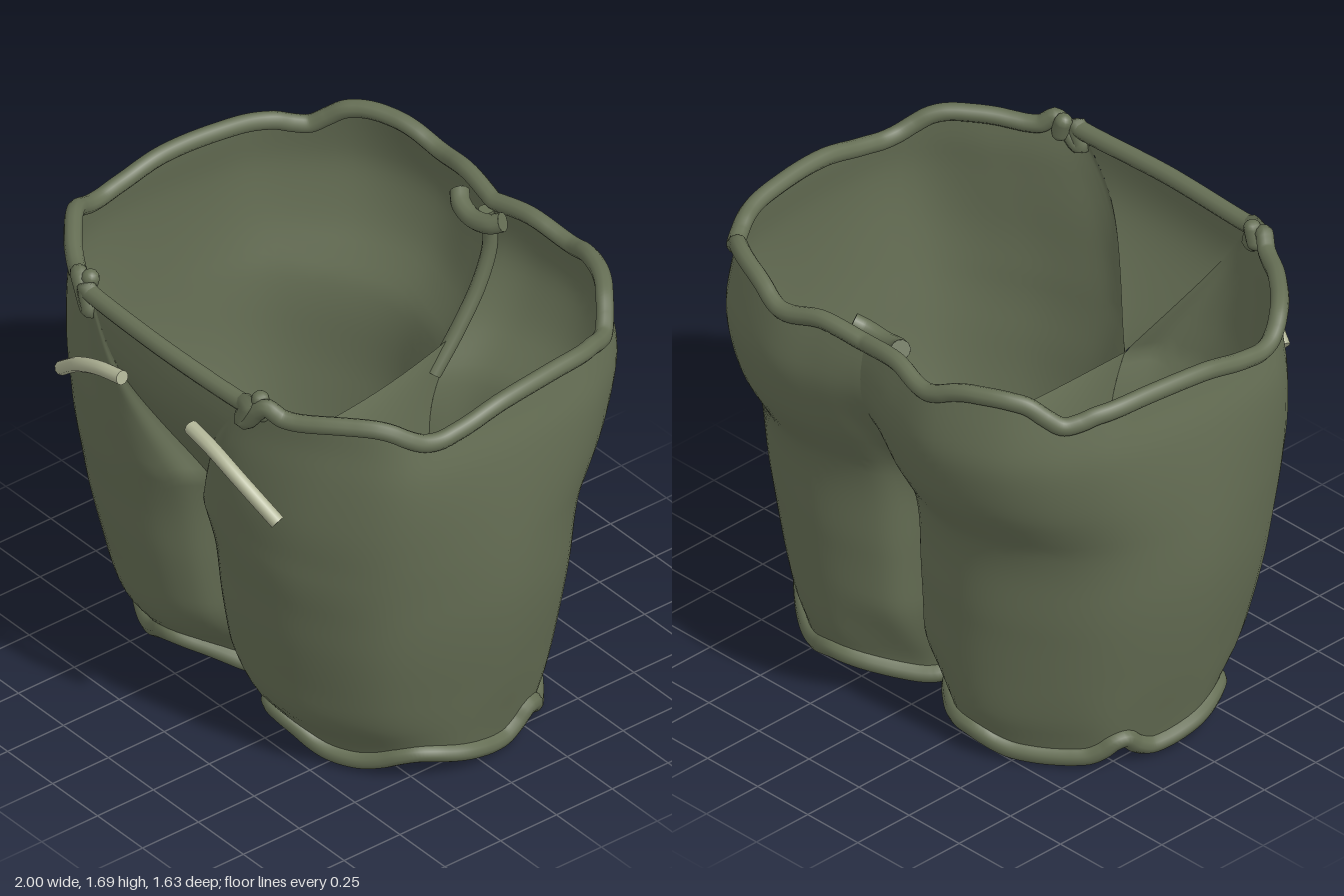
import * as THREE from 'three';
import { ParametricGeometry } from 'three/addons/geometries/ParametricGeometry.js';

const cloth = new THREE.MeshStandardMaterial({ color: 0x666f55, side: THREE.DoubleSide });
const pale = new THREE.MeshStandardMaterial({ color: 0xb0b496 });
const V = (x, y, z) => new THREE.Vector3(x, y, z);
const { lerp, smoothstep, clamp } = THREE.MathUtils;

// smooth lookup through a few [position, value] pairs
function profile(pairs) {
  const f = new THREE.CubicInterpolant(pairs.map(p => p[0]), pairs.map(p => p[1]), 1);
  return t => f.evaluate(t)[0];
}

// silhouette by height: half width, front depth, back depth
const halfWidth = profile([[0, 0.81], [0.15, 0.845], [0.35, 0.895], [0.6, 0.95], [0.8, 0.98], [1.1, 0.995], [1.4, 0.985], [1.55, 0.96], [1.68, 0.94]]);
const frontZ = profile([[0, 0.435], [0.1, 0.465], [0.16, 0.505], [0.23, 0.555], [0.4, 0.595], [0.6, 0.635], [0.8, 0.665], [1, 0.715], [1.2, 0.767], [1.4, 0.795], [1.55, 0.785], [1.68, 0.77]]);
const backZ = profile([[0, 0.505], [0.1, 0.535], [0.2, 0.57], [0.6, 0.615], [0.98, 0.66], [1.06, 0.705], [1.16, 0.76], [1.3, 0.8], [1.4, 0.812], [1.5, 0.8], [1.68, 0.76]]);

// half outlines from front centre, round the outside, to back centre
const hemOutline = [[0, 0.45], [0.12, 0.68], [0.34, 0.95], [0.6, 0.92], [0.87, 0.6], [1, 0.15], [0.96, -0.35], [0.87, -0.63], [0.6, -0.94], [0.35, -1], [0.1, -0.74], [0, -0.55]];
const legOutline = [[0, 0.71], [0.1, 0.9], [0.3, 1], [0.6, 0.93], [0.87, 0.65], [1, 0.1], [0.97, -0.3], [0.85, -0.65], [0.62, -0.9], [0.38, -1], [0.12, -0.9], [0, -0.7]];
const waistOutline = [[0, 0.95], [0.06, 0.95], [0.22, 0.9], [0.6, 0.73], [0.95, 0.5], [1, 0.1], [0.98, -0.3], [0.92, -0.59], [0.72, -0.88], [0.44, -1], [0.2, -0.98], [0, -0.94]];
const LAST = 11, CROTCH = 1.0;

// wavy edges along the outline
const waistY = profile([[0, 1.64], [0.9, 1.64], [1.3, 1.56], [1.7, 1.655], [2.3, 1.62], [3, 1.635], [3.7, 1.63], [4.3, 1.56], [4.7, 1.575], [5.2, 1.61],
  [6, 1.62], [7, 1.6], [7.4, 1.575], [7.8, 1.65], [8.6, 1.66], [9.2, 1.61], [10, 1.64], [11, 1.62]]);
const hemY = profile([[0, 0.06], [1, 0.06], [2, 0.16], [2.9, 0.06], [3.5, 0.05], [4.2, 0.11], [5, 0.08], [5.8, 0.05], [6.3, 0.12],
  [7, 0.055], [8, 0.05], [8.8, 0.1], [10, 0.05], [11, 0.055]]);

// point on the outside at outline position s and height y
function outside(s, y) {
  const low = 1 - smoothstep(y, 0.05, 0.4), high = smoothstep(y, 0.8, 1.55), X = halfWidth(y);
  const v = 0.66 * Math.max(0, y - CROTCH);
  const pts = legOutline.map((leg, i) => {
    const [u, z] = leg.map((c, j) => lerp(lerp(c, hemOutline[i][j], low), waistOutline[i][j], high));
    return V(i < 4 ? v + u * (X - v) : u * X, y, z * (z > 0 ? frontZ(y) : backZ(y)));
  });
  return new THREE.CatmullRomCurve3(pts, false, 'catmullrom', 0.5).getPoint(clamp(s / LAST, 0, 1));
}

// point on the wall between the legs; its top is the crotch seam, rising at the back
function innerWall(a, b) {
  const y = lerp(lerp(hemY(0), hemY(LAST), a), CROTCH + 0.15 * a ** 4, b);
  const z = lerp(outside(0, Math.min(y, CROTCH)).z, outside(LAST, y).z, a);
  return V(0.05 * Math.sin(Math.PI * a) * (1 - b ** 6), y, z);
}

function sheet(name, fn, slices, stacks) {
  const geo = new ParametricGeometry((u, v, out) => out.copy(fn(clamp(u, 0, 1), clamp(v, 0, 1))), slices, stacks);
  geo.computeVertexNormals();
  const mesh = new THREE.Mesh(geo, cloth);
  mesh.name = name;
  return mesh;
}

// round cord; open cords get flat end caps
function cord(name, pts, radius, closed, material = cloth) {
  const curve = new THREE.CatmullRomCurve3(pts, closed, 'centripetal');
  const group = new THREE.Group();
  group.name = name;
  group.add(new THREE.Mesh(new THREE.TubeGeometry(curve, pts.length * 5, radius, 10, closed), material));
  if (!closed) for (const t of [0, 1]) {
    const cap = new THREE.Mesh(new THREE.CircleGeometry(radius, 10), material);
    cap.position.copy(curve.getPoint(t));
    cap.lookAt(cap.position.clone().addScaledVector(curve.getTangent(t), t ? 1 : -1));
    group.add(cap);
  }
  return group;
}

export function createModel() {
  const model = new THREE.Group();
  model.name = 'shorts';
  const flip = (p, m) => V(p.x * m, p.y, p.z);

  for (const [m, side] of [[1, 'left'], [-1, 'right']]) {
    // leg shell from hem to waist and its inner wall
    model.add(sheet(side + 'Leg', (u, v) => {
      const s = u * LAST;
      return flip(outside(s, lerp(hemY(s), waistY(s), v)), m);
    }, 66, 44));
    model.add(sheet(side + 'InnerLeg', (u, v) => flip(innerWall(u, v), m), 20, 30));

    // rolled hem round the leg opening
    const hem = [];
    for (let i = 0; i <= 44; i++) hem.push(outside(i / 4, hemY(i / 4)));
    for (let i = 1; i < 8; i++) hem.push(innerWall(1 - i / 8, 0));
    hem.forEach(p => { p.x = Math.max(p.x, 0.03); });
    model.add(cord(side + 'Hem', hem.map(p => flip(p, m)), 0.036, true));

    // pale pocket edging
    model.add(cord(side + 'PocketTrim', [V(0.19, 1.43, 0.785), V(0.31, 1.405, 0.787), V(0.44, 1.345, 0.775), V(0.6, 1.22, 0.725)].map(p => flip(p, m)), 0.027, false, pale));

    // bunched knot on the waistband
    const knot = new THREE.Mesh(new THREE.CapsuleGeometry(0.033, 0.05, 6, 10), cloth);
    knot.name = side + 'WaistKnot';
    knot.position.set(0.48 * m, 1.64, 0.7);
    knot.rotation.z = 0.3 * m;
    model.add(knot);
  }

  // recessed triangular panel at the front
  model.add(sheet('frontPanel', (u, v) => {
    const p = outside(0, lerp(CROTCH, waistY(0), v)), a = 2 * u - 1;
    return V(p.x * a, p.y, p.z + 0.02 * v * (1 - a * a));
  }, 12, 20));

  // rolled waistband
  const half = [];
  for (let i = 0; i <= 55; i++) half.push(outside(i / 5, waistY(i / 5)));
  const waist = [V(0, 1.64, 0.75), ...half, ...half.slice(0, -1).reverse().map(p => flip(p, -1))];
  model.add(cord('waistband', waist, 0.033, true));

  // curl of the band hanging inside the back seam
  model.add(cord('backCurl', [V(-0.12, 1.62, -0.67), V(-0.08, 1.6, -0.645), V(0, 1.585, -0.635), V(0.08, 1.6, -0.645), V(0.12, 1.62, -0.67)], 0.036, false));
  // gathered seam running down inside the back
  model.add(cord('backSeam', [1.6, 1.45, 1.3, 1.15, 1].map(y => V(0, y, outside(LAST, y).z + 0.04)), 0.028, false));

  return model;
}
